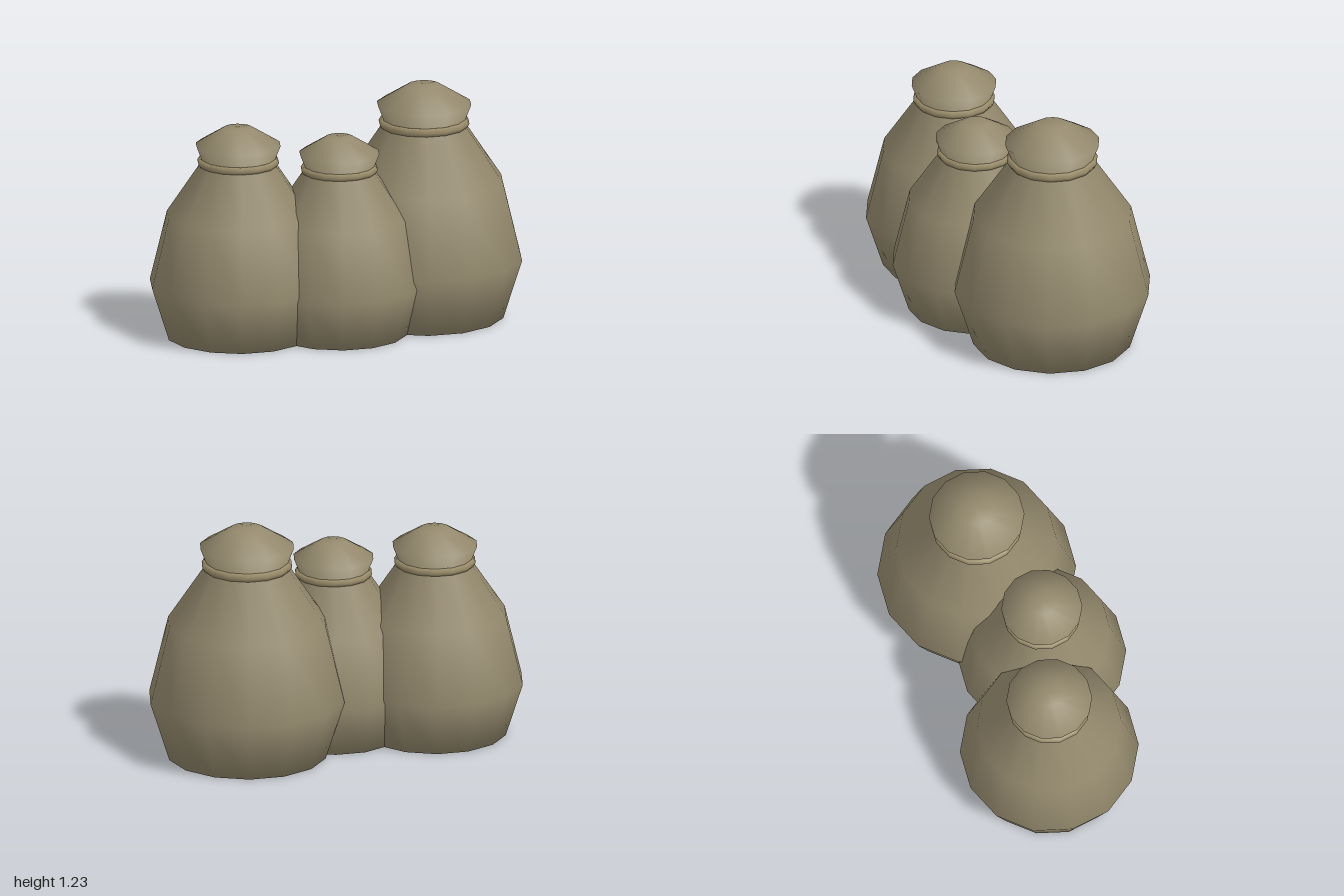
import * as THREE from 'three';

const SIDES = 14;
const cloth = new THREE.MeshStandardMaterial({ color: 0x958a6e });
const rope = new THREE.MeshStandardMaterial({ color: 0x9a8c6a });

// Sack outline from the centre of the base up to the gathered top
const profile = [
  [0, 0], [0.413, 0], [0.512, 0.31], [0.413, 0.72],
  [0.207, 1.03], [0.246, 1.13], [0.083, 1.23], [0, 1.23],
].map(([r, y]) => new THREE.Vector2(r, y));

function makeSack(name, x, z, scale) {
  const sack = new THREE.Group();
  sack.name = name;

  // Cloth body, pinched at the neck, with a corner facing the side
  const body = new THREE.Mesh(new THREE.LatheGeometry(profile, SIDES, Math.PI / 2), cloth);
  body.name = 'sackBody';

  // Rope tied round the neck
  const tie = new THREE.Mesh(new THREE.TorusGeometry(0.213, 0.024, 6, SIDES), rope);
  tie.name = 'neckRope';
  tie.rotation.x = Math.PI / 2;
  tie.position.y = 1.03;

  sack.add(body, tie);
  sack.position.set(x, 0, z);
  sack.scale.setScalar(scale);
  return sack;
}

export function createModel() {
  const group = new THREE.Group();
  group.name = 'sacks';
  group.add(
    makeSack('largeSack', 0.488, -0.068, 1),
    makeSack('mediumSack', -0.54, 0.035, 0.9),
    makeSack('smallSack', -0.027, 0.137, 0.85),
  );
  return group;
}
